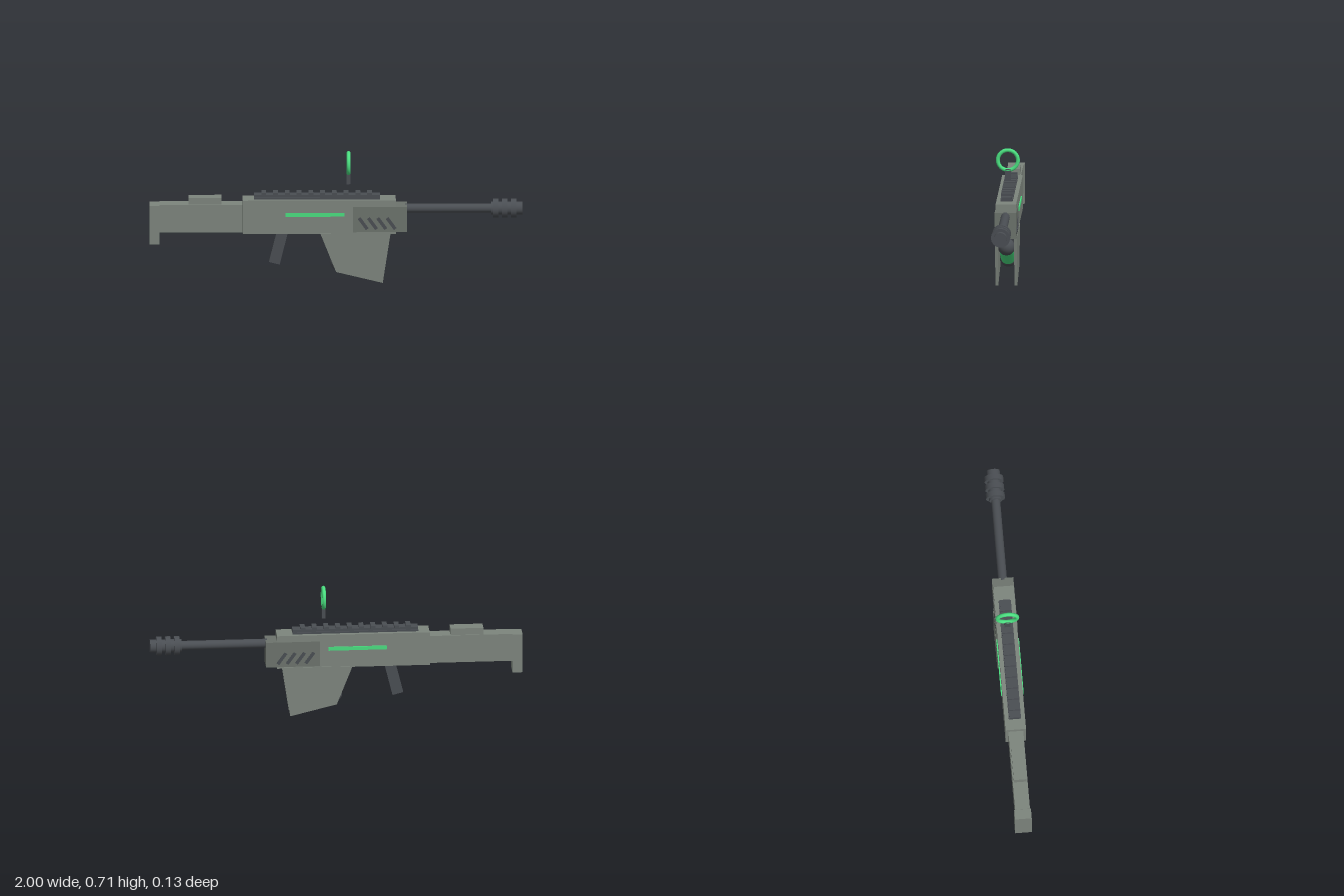
import * as THREE from 'three';

const mat = (color) => new THREE.MeshStandardMaterial({ color });

export function createModel() {
  const group = new THREE.Group();
  const body = mat(0x7d857d), panel = mat(0x6c736c), dark = mat(0x4a4e53), green = mat(0x4ade80);

  const add = (name, geometry, material, x = 0, y = 0, z = 0) => {
    const mesh = new THREE.Mesh(geometry, material);
    mesh.name = name;
    mesh.position.set(x, y, z);
    group.add(mesh);
    return mesh;
  };
  // Box given by its x and y limits and its half width in z
  const block = (name, material, x0, x1, y0, y1, halfZ) =>
    add(name, new THREE.BoxGeometry(x1 - x0, y1 - y0, halfZ * 2), material, (x0 + x1) / 2, (y0 + y1) / 2);
  // Side profile extruded along z, from z to z + depth
  const plate = (name, material, points, depth, z) => {
    const shape = new THREE.Shape(points.map(([x, y]) => new THREE.Vector2(x, y)));
    return add(name, new THREE.ExtrudeGeometry(shape, { depth, bevelEnabled: false }), material, 0, 0, z);
  };
  // Cylinder lying along x
  const rod = (name, material, x0, x1, radius, y) => {
    const geometry = new THREE.CylinderGeometry(radius, radius, x1 - x0, 32).rotateZ(-Math.PI / 2);
    return add(name, geometry, material, (x0 + x1) / 2, y);
  };

  // Stock and receiver
  block('buttPad', body, -1, -0.945, 0.215, 0.43, 0.045);
  block('stock', body, -0.945, -0.5, 0.28, 0.433, 0.04);
  block('cheekRest', body, -0.79, -0.613, 0.433, 0.47, 0.034);
  block('receiver', body, -0.5, 0.32, 0.275, 0.46, 0.055);
  block('foreEnd', panel, 0.09, 0.38, 0.285, 0.425, 0.058);

  // Top rail with cross teeth
  block('railBase', dark, -0.44, 0.235, 0.46, 0.47, 0.033);
  block('rail', dark, -0.44, 0.235, 0.47, 0.483, 0.027);
  for (let i = 0; i < 10; i++) {
    const x = -0.387 + i * 0.063;
    block('railTooth', dark, x - 0.013, x + 0.013, 0.48, 0.496, 0.032);
  }

  // Barrel and ringed muzzle brake
  rod('barrel', dark, 0.37, 0.84, 0.024, 0.403);
  rod('muzzleCore', dark, 0.83, 1, 0.035, 0.403);
  for (const x of [0.856, 0.904, 0.952]) rod('muzzleRing', dark, x - 0.014, x + 0.014, 0.051, 0.403);

  // Pistol grip
  plate('grip', dark, [[-0.318, 0.28], [-0.36, 0.113], [-0.302, 0.098], [-0.257, 0.28]], 0.052, -0.026);

  // Side details, mirrored
  for (const side of [1, -1]) {
    add('lightStrip', new THREE.BoxGeometry(0.315, 0.02, 0.01), green, -0.113, 0.382, side * 0.056);
    plate('sidePlate', body, [[-0.085, 0.28], [0, 0.065], [0.25, 0.004], [0.292, 0.28]],
      0.016, side > 0 ? 0.043 : -0.059);
    for (let i = 0; i < 4; i++) {
      const vent = add('vent', new THREE.BoxGeometry(0.075, 0.018, 0.006), dark,
        0.145 + i * 0.05, 0.333, side * 0.057);
      vent.rotation.z = -0.95;
    }
  }

  // Energy cell between the side plates
  const rear = new THREE.Vector3(0.012, 0.108, 0), front = new THREE.Vector3(0.232, 0.212, 0);
  const cellAxis = front.clone().sub(rear);
  const cell = add('cell', new THREE.CylinderGeometry(0.04, 0.04, cellAxis.length(), 32), green);
  cell.position.copy(rear).add(front).multiplyScalar(0.5);
  cell.quaternion.setFromUnitVectors(new THREE.Vector3(0, 1, 0), cellAxis.normalize());
  for (const p of [rear, front]) add('cellCap', new THREE.SphereGeometry(0.046, 32, 20), dark, p.x, p.y);

  // Floating ring sight
  block('sightPost', dark, 0.057, 0.077, 0.54, 0.606, 0.016);
  add('sightRing', new THREE.TorusGeometry(0.054, 0.0105, 16, 48).rotateY(Math.PI / 2), green, 0.067, 0.653);

  return group;
}
